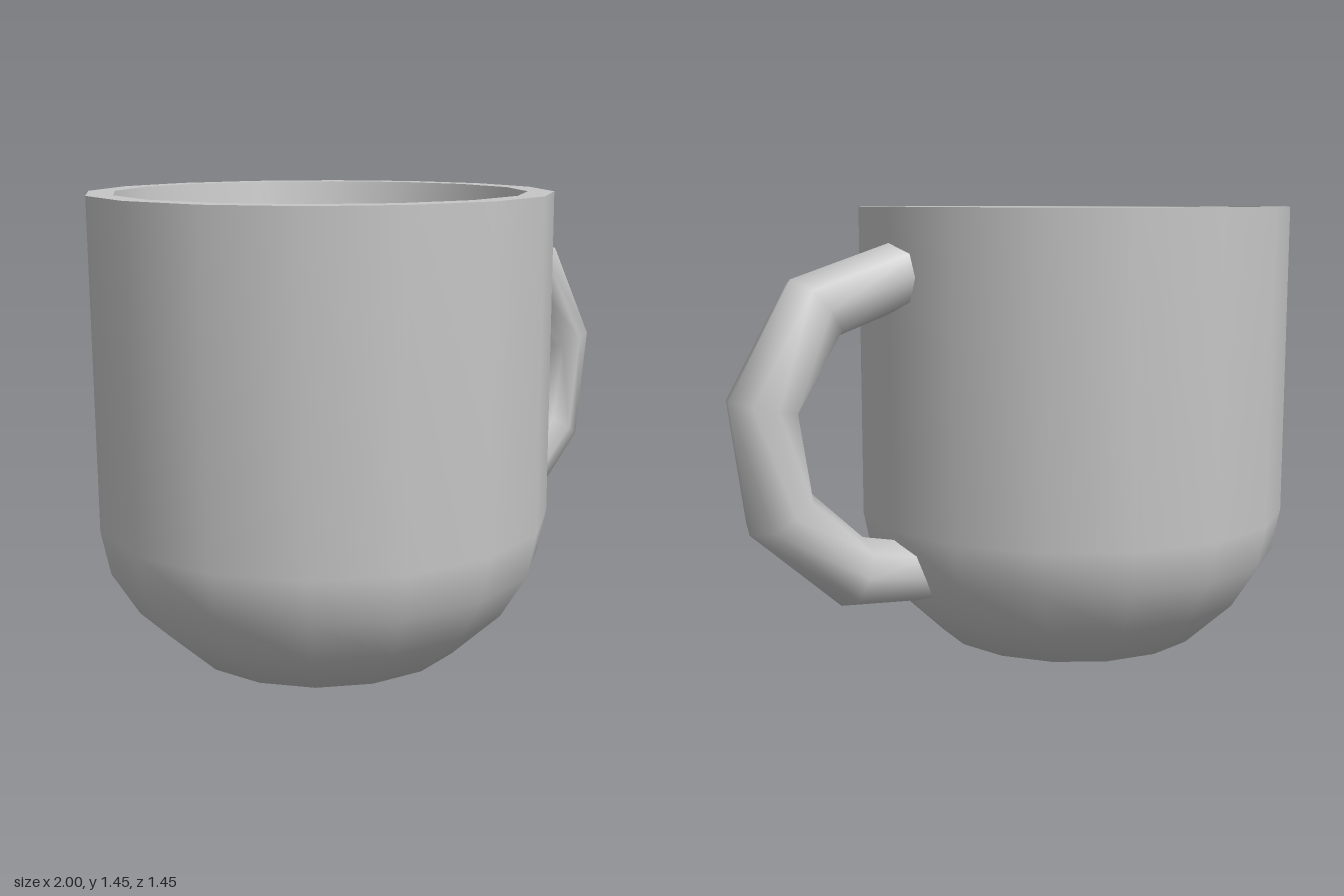
import * as THREE from 'three';

const SIDES = 16;
const CUP_X = -0.277;

export function createModel() {
  const grey = new THREE.MeshStandardMaterial({ color: 0xc6c6c6 });
  grey.name = 'ceramic grey';
  const model = new THREE.Group();
  model.name = 'mug';

  const add = (name, geometry, x = 0) => {
    const mesh = new THREE.Mesh(geometry, grey);
    mesh.name = name;
    mesh.position.x = x;
    model.add(mesh);
  };
  const turned = (name, profile) =>
    add(name, new THREE.LatheGeometry(profile.map(([r, y]) => new THREE.Vector2(r, y)), SIDES), CUP_X);

  // Cup: separate turned surfaces keep the rim and floor edges sharp
  turned('outerWall', [[0, 0], [0.45, 0], [0.61, 0.15], [0.695, 0.29], [0.723, 0.43], [0.723, 1.45]]);
  turned('rim', [[0.723, 1.45], [0.641, 1.45]]);
  turned('innerWall', [[0.641, 1.45], [0.475, 0.15]]);
  turned('innerFloor', [[0.475, 0.15], [0, 0.15]]);

  // Handle: rings given by their outer and inner points, ends sunk into the wall
  add('handle', handleGeometry([
    [0.38, 1.36, 0.37, 1.145],
    [0.785, 1.24, 0.64, 1.06],
    [0.995, 0.89, 0.783, 0.845],
    [0.94, 0.485, 0.74, 0.595],
    [0.635, 0.215, 0.555, 0.425],
    [0.33, 0.182, 0.38, 0.385],
  ]));
  return model;
}

// Eight-sided tube swept through the rings
function handleGeometry(rings) {
  const section = [[1, 0], [0.67, 0.093], [0, 0.116], [-0.67, 0.093],
    [-1, 0], [-0.67, -0.093], [0, -0.116], [0.67, -0.093]];
  const n = section.length;
  const positions = [];
  const index = [];
  rings.forEach(([ox, oy, ix, iy], r) => {
    for (const [u, z] of section) {
      positions.push((ox + ix) / 2 + u * (ox - ix) / 2, (oy + iy) / 2 + u * (oy - iy) / 2, z);
    }
    if (r === 0) return;
    for (let i = 0; i < n; i++) {
      const a = (r - 1) * n + i, b = (r - 1) * n + (i + 1) % n;
      index.push(a, a + n, b, b, a + n, b + n);
    }
  });
  const geometry = new THREE.BufferGeometry();
  geometry.setAttribute('position', new THREE.Float32BufferAttribute(positions, 3));
  // Winding: the path runs clockwise seen from the front
  for (let i = 0; i < index.length; i += 3) [index[i + 1], index[i + 2]] = [index[i + 2], index[i + 1]];
  geometry.setIndex(index);
  geometry.computeVertexNormals();
  return geometry;
}
